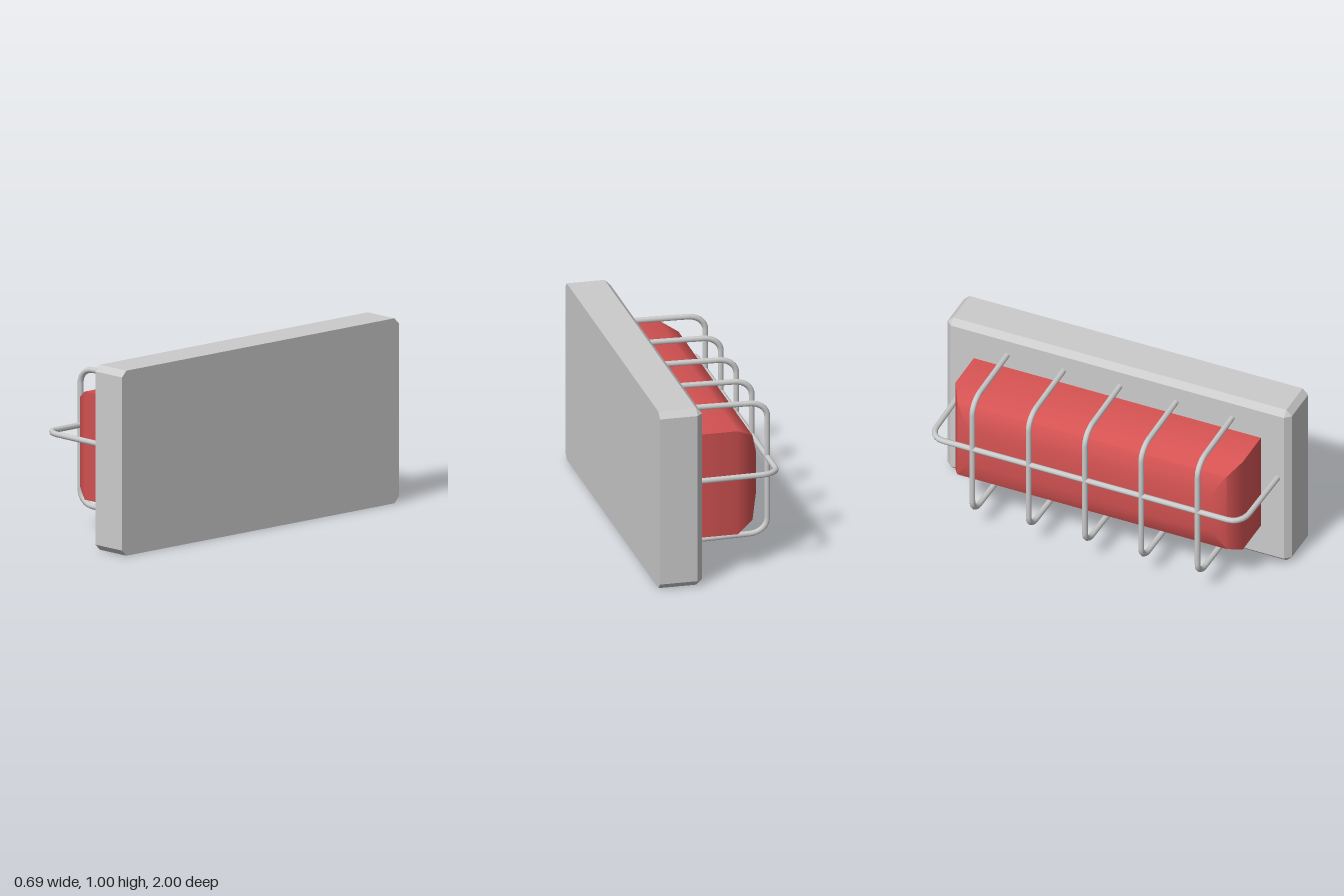
import * as THREE from 'three';
import { ConvexGeometry } from 'three/addons/geometries/ConvexGeometry.js';
import { toCreasedNormals } from 'three/addons/utils/BufferGeometryUtils.js';

const grey = new THREE.MeshStandardMaterial({ color: 0xcccccc });
const red = new THREE.MeshStandardMaterial({ color: 0xd65353 });

// Four mirrored corners of a rectangle lying across x
function corners(x, halfY, halfZ, midY) {
  const points = [];
  for (const sy of [-1, 1]) {
    for (const sz of [-1, 1]) points.push(new THREE.Vector3(x, midY + sy * halfY, sz * halfZ));
  }
  return points;
}

// U-shaped rod: both feet in the plate, rounded corners, straight outer run.
// place(x, u) turns the flat outline into 3D points.
function rod(name, halfSpan, place) {
  const foot = 0.13, outer = -0.332, r = 0.1;
  const path = new THREE.CurvePath();
  const inner = halfSpan - 0.007;
  const bendStart = outer + r, bendEnd = inner - r * 0.8;
  const k = 0.6;
  const line = (a, b) => path.add(new THREE.LineCurve3(place(...a), place(...b)));
  const bend = (a, b, c, d) => path.add(new THREE.CubicBezierCurve3(place(...a), place(...b), place(...c), place(...d)));

  line([foot, halfSpan], [bendStart, inner]);
  bend([bendStart, inner], [bendStart - r * k, inner], [outer, bendEnd + r * 0.8 * (1 - k) + 0.01], [outer, bendEnd]);
  line([outer, bendEnd], [outer, -bendEnd]);
  bend([outer, -bendEnd], [outer, -bendEnd - r * 0.8 * (1 - k) - 0.01], [bendStart - r * k, -inner], [bendStart, -inner]);
  line([bendStart, -inner], [foot, -halfSpan]);

  const mesh = new THREE.Mesh(new THREE.TubeGeometry(path, 100, 0.016, 8), grey);
  mesh.name = name;
  return mesh;
}

export function createModel() {
  const model = new THREE.Group();
  model.name = 'cagedWallLamp';

  // Mounting plate, chamfered around its outer face and its four corners
  const c = 0.032;
  const platePoints = corners(0.108, 0.5 - c, 1 - c, 0.5);
  for (const x of [0.14, 0.346]) {
    platePoints.push(...corners(x, 0.5 - c, 1, 0.5), ...corners(x, 0.5, 1 - c, 0.5));
  }
  const plate = new THREE.Mesh(new ConvexGeometry(platePoints), grey);
  plate.name = 'mountingPlate';
  model.add(plate);

  // Lamp cover, stepping inwards towards its outer face: [x, halfY, halfZ]
  const coverPoints = [
    [0.12, 0.292, 0.834],
    [-0.122, 0.292, 0.834],
    [-0.215, 0.24, 0.782],
    [-0.254, 0.118, 0.704],
  ].flatMap(([x, y, z]) => corners(x, y, z, 0.502));
  const cover = new THREE.Mesh(toCreasedNormals(new ConvexGeometry(coverPoints), 0.85), red);
  cover.name = 'lampCover';
  model.add(cover);

  // Guard cage: five upright hoops and one long horizontal hoop
  const cage = new THREE.Group();
  cage.name = 'guardCage';
  for (let i = -2; i <= 2; i++) {
    const z = 0.013 + i * 0.327;
    cage.add(rod('uprightHoop', 0.376, (x, u) => new THREE.Vector3(x, 0.499 + u, z)));
  }
  cage.add(rod('longHoop', 0.915, (x, u) => new THREE.Vector3(x, 0.557, 0.015 + u)));
  model.add(cage);

  return model;
}
